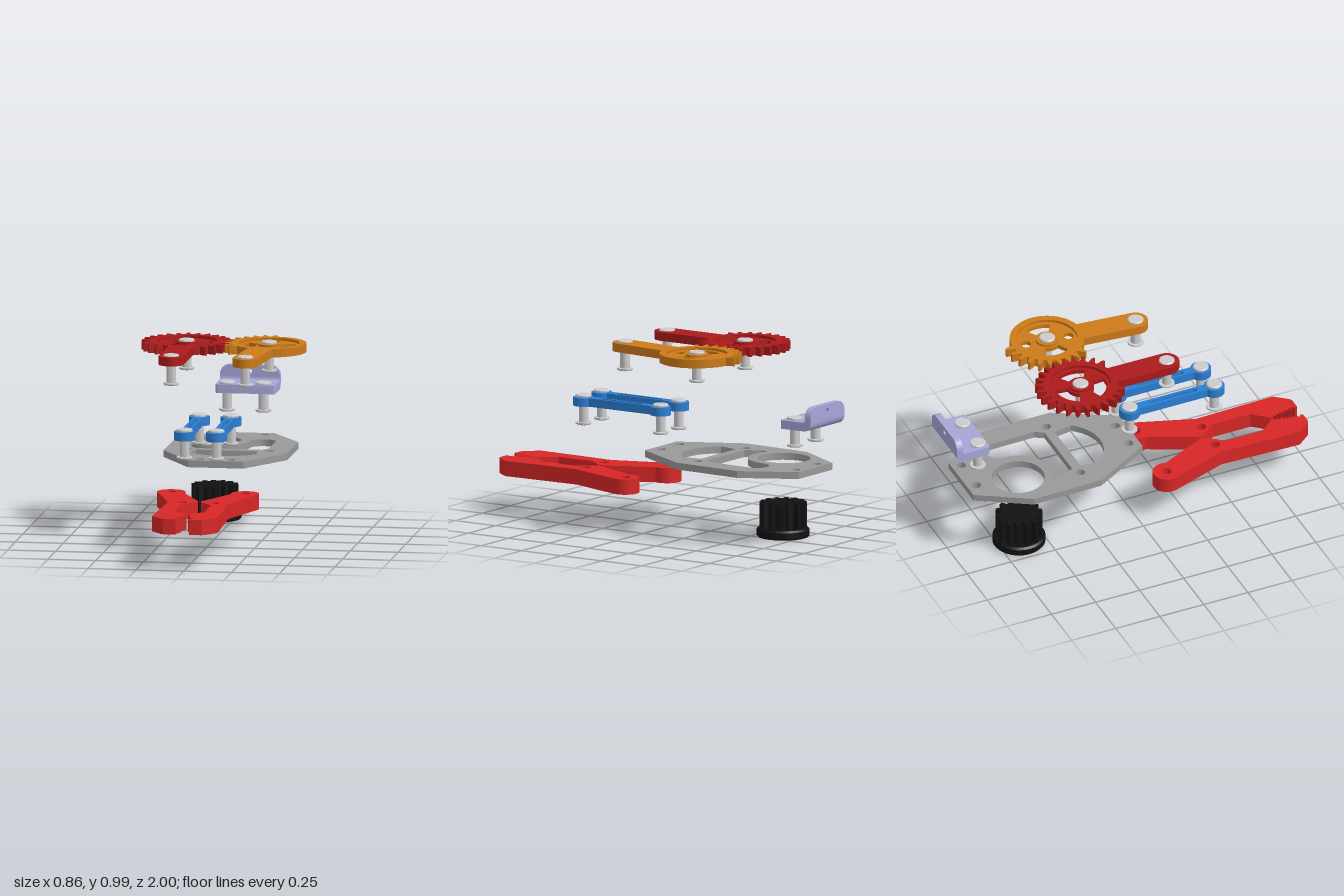
import * as THREE from 'three';
import { toCreasedNormals } from 'three/addons/utils/BufferGeometryUtils.js';

const V = (x, y) => new THREE.Vector2(x, y);
const RAD = Math.PI / 180;

function makeMesh(name, geo, color) {
  const m = new THREE.Mesh(toCreasedNormals(geo, 0.5), new THREE.MeshStandardMaterial({ color }));
  m.name = name;
  return m;
}

// points along an arc, angles in degrees
function arc(cx, cy, r, a0, a1, n = 14) {
  return Array.from({ length: n + 1 }, (_, i) => {
    const a = (a0 + ((a1 - a0) * i) / n) * RAD;
    return V(cx + r * Math.cos(a), cy + r * Math.sin(a));
  });
}

const circle = (x, y, r) => new THREE.Path(arc(x, y, r, 0, 360, 40).slice(0, -1));

// flat part drawn in plan (x, z) and standing between two heights
function slab(name, outline, holes, y0, y1, color) {
  const s = new THREE.Shape(outline);
  s.holes = holes;
  const geo = new THREE.ExtrudeGeometry(s, { depth: y1 - y0, bevelEnabled: false });
  geo.rotateX(Math.PI / 2).translate(0, y1, 0);
  return makeMesh(name, geo, color);
}

// shouldered pin with a flange at both ends
function pin(name, x, z, y0, y1) {
  const p = [V(0, y0), V(0.036, y0), V(0.041, y0 + 0.004), V(0.041, y0 + 0.012), V(0.025, y0 + 0.013),
    V(0.025, y1 - 0.013), V(0.041, y1 - 0.012), V(0.041, y1 - 0.004), V(0.036, y1), V(0, y1)];
  const m = makeMesh(name, new THREE.LatheGeometry(p, 32), 0xcccccc);
  m.position.set(x, 0, z);
  return m;
}

// closed window between two radii of a gear web
const webWindow = (a0, a1) => new THREE.Path([...arc(0, 0, 0.135, a0, a1), ...arc(0, 0, 0.07, a1, a0)]);

// gear with its arm along local +x; teeth only between two angles
function gearArm(name, cx, cz, ex, ez, teeth, from, to, phase, windows, color) {
  const g = new THREE.Group();
  g.name = name;
  const L = Math.hypot(ex - cx, ez - cz), w = 0.065, root = 0.193, tip = 0.234;
  const d = Math.asin(w / root) / RAD, pitch = 360 / teeth;
  const pts = [];
  const first = Math.ceil((from - phase) / pitch), last = Math.floor((to - phase) / pitch);
  const put = (a, r) => pts.push(V(r * Math.cos(a * RAD), r * Math.sin(a * RAD)));
  for (let a = d; a < phase + first * pitch - 5; a += 4) put(a, root);
  for (let k = first; k <= last; k++) {
    const c = phase + k * pitch;
    [[-4.6, root], [-3, 0.216], [-1.3, tip], [1.3, tip], [3, 0.216], [4.6, root]].forEach(([o, r]) => put(c + o, r));
  }
  for (let a = phase + last * pitch + 7; a < 360 - d; a += 4) put(a, root);
  put(360 - d, root);
  pts.push(...arc(L, 0, w, -90, 90, 20));
  g.add(slab(name + 'Rim', pts, [circle(0, 0, 0.158)], 0.935, 0.98, color));
  g.add(slab(name + 'Web', arc(0, 0, 0.162, 0, 360, 48).slice(0, -1), windows, 0.945, 0.966, color));
  const hub = makeMesh(name + 'Hub', new THREE.CylinderGeometry(0.06, 0.06, 0.04, 32), color);
  hub.position.y = 0.957;
  g.add(hub);
  g.position.set(cx, 0, cz);
  g.rotation.y = -Math.atan2(ez - cz, ex - cx);
  return g;
}

// jaw with pivot eye, kinked body and serrated tip
function jaw(name, side) {
  const X = (x) => side * x - 0.007;
  const p = [...arc(0.193, 0.155, 0.073, 160, 375, 20), V(0.158, 0.48), V(0.17, 0.92), V(0.115, 0.99), V(0.1, 1), V(0.036, 1)];
  for (let i = 0; i < 7; i++) {
    const t = i / 7, x = 0.033 - 0.03 * t, z = 0.985 - 0.14 * t;
    p.push(V(x, z), V(x + 0.017, z - 0.009));
  }
  p.push(V(0.003, 0.84), V(0.077, 0.755), V(0.077, 0.54), V(0.012, 0.46), V(0.008, 0.43));
  const pts = p.map((q) => V(X(q.x), q.y));
  return slab(name, pts, [circle(X(0.193), 0.155, 0.026), circle(X(0.085), 0.477, 0.026)], 0.19, 0.27, 0xd82626);
}

// slotted link with round eyes
function link(name, x) {
  const z1 = 0.48, r = 0.054, h = 0.025, f = Math.asin(h / r) / RAD;
  const pts = [...arc(x, 0, r, 90 + f, 450 - f, 28), ...arc(x, z1, r, -90 + f, 270 - f, 28)];
  const slot = new THREE.Path([...arc(x, 0.37, 0.012, 0, 180, 8), ...arc(x, 0.12, 0.012, 180, 360, 8)]);
  return slab(name, pts, [slot], 0.598, 0.642, 0x2b7fd4);
}

function basePlate() {
  const c = 0.015;
  const half = [[0.155, -0.91], [0.322, -0.64], [0.322, -0.26], [0.145, 0.055]];
  const pts = [...half.map(([x, z]) => V(c + x, z)), ...half.reverse().map(([x, z]) => V(c - x, z))];
  // window curling round the motor opening, and the bowed window in front of the crossbar
  const rear = new THREE.Path([V(-0.15, -0.355), V(0.19, -0.355), V(0.22, -0.4),
    ...arc(0.152, -0.635, 0.067, 360, 180), ...arc(-0.1, -0.637, 0.187, 15, 120, 20), V(-0.2, -0.43)]);
  const front = new THREE.Path([V(-0.145, -0.305), V(0.175, -0.305), ...arc(c, -0.34, 0.22, 38, 142, 20)]);
  const holes = [[-0.07, -0.86], [0.12, -0.86], [-0.2, -0.33], [0.235, -0.325], [-0.078, 0], [0.088, 0]]
    .map(([x, z]) => circle(x, z, 0.024));
  const m = slab('basePlate', pts, [rear, front, circle(-0.1, -0.637, 0.137), ...holes], 0.381, 0.417, 0x999999);
  m.rotation.x = -0.012;
  return m;
}

// angled bracket: foot, bend and upright
function bracket() {
  const g = new THREE.Group(), color = 0xa6a6d8, x0 = -0.125, x1 = 0.188;
  g.name = 'bracket';
  const foot = [V(x0, -0.95), V(x1, -0.95), ...arc(x1 - 0.015, -0.825, 0.015, 0, 90, 6), ...arc(x0 + 0.015, -0.825, 0.015, 90, 180, 6)];
  g.add(slab('bracketFoot', foot, [], 0.627, 0.672, color));
  const bend = new THREE.Shape([V(0.95, 0.627), ...arc(0.96, 0.667, 0.04, -90, 0, 8), V(1, 0.69), V(0.966, 0.69),
    ...arc(0.95, 0.688, 0.016, 0, -90, 6)]);
  const bendGeo = new THREE.ExtrudeGeometry(bend, { depth: x1 - x0, bevelEnabled: false });
  bendGeo.rotateY(Math.PI / 2).translate(x0, 0, 0);
  g.add(makeMesh('bracketBend', bendGeo, color));
  const up = new THREE.Shape([V(x0, 0.69), V(x1, 0.69), ...arc(x1 - 0.05, 0.7, 0.05, 0, 90, 10), ...arc(x0 + 0.05, 0.7, 0.05, 90, 180, 10)]);
  up.holes = [circle(0.031, 0.718, 0.013)];
  const upGeo = new THREE.ExtrudeGeometry(up, { depth: 0.034, bevelEnabled: false });
  g.add(makeMesh('bracketUpright', upGeo.translate(0, 0, -1), color));
  return g;
}

// motor pinion with a chamfered flange below
function pinion() {
  const g = new THREE.Group(), n = 14, pts = [];
  g.name = 'motorPinion';
  for (let i = 0; i < n; i++) {
    [[-0.38, 0.095], [-0.17, 0.122], [0.17, 0.122], [0.38, 0.095]].forEach(([o, r]) => {
      const a = ((i + o) / n) * Math.PI * 2;
      pts.push(V(r * Math.cos(a), r * Math.sin(a)));
    });
  }
  g.add(slab('pinionTeeth', pts, [], 0.04, 0.181, 0x111111));
  const prof = [V(0, 0), V(0.13, 0), V(0.137, 0.008), V(0.137, 0.038), V(0.127, 0.048), V(0, 0.048)];
  g.add(makeMesh('pinionFlange', new THREE.LatheGeometry(prof, 48), 0x111111));
  g.position.set(-0.098, 0, -0.637);
  return g;
}

export function createModel() {
  const model = new THREE.Group();
  model.name = 'gripperExploded';

  // meshing gear arms
  model.add(gearArm('driveGearArm', -0.197, -0.333, -0.2, 0.155, 26, 27, 333, 270,
    [webWindow(-125, -55), webWindow(-5, 65), webWindow(115, 185)], 0xac1a1a));
  model.add(gearArm('followerGearArm', 0.235, -0.325, 0.187, 0.155, 26, 40, 184, 90.9,
    [webWindow(55, 115), webWindow(235, 295), circle(0.115, 0, 0.026), circle(-0.115, 0, 0.026)], 0xcc7a18));

  model.add(jaw('rightJaw', -1), jaw('leftJaw', 1));
  model.add(link('rightLink', -0.078), link('leftLink', 0.088));
  model.add(basePlate(), bracket(), pinion());

  // pins: x, z, bottom, top
  [[-0.197, -0.333, 0.829, 0.988], [-0.2, 0.155, 0.829, 0.988], [0.235, -0.325, 0.829, 0.99], [0.187, 0.155, 0.832, 0.99],
    [-0.078, 0, 0.498, 0.656], [-0.078, 0.48, 0.498, 0.656], [0.088, 0, 0.498, 0.656], [0.088, 0.48, 0.498, 0.656],
    [-0.07, -0.858, 0.528, 0.684], [0.12, -0.858, 0.528, 0.684]].forEach((p, i) => model.add(pin('pin' + (i + 1), ...p)));
  return model;
}
